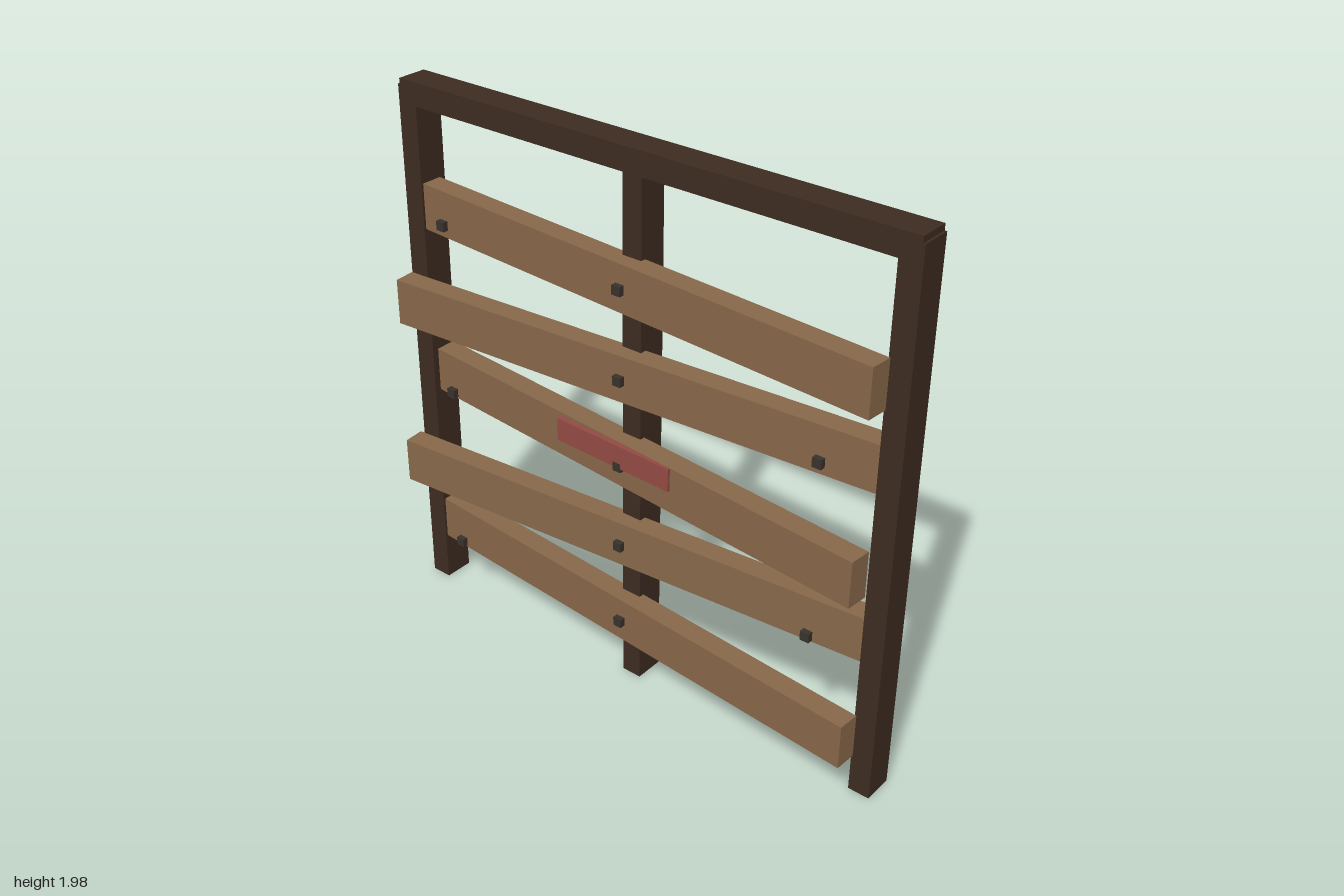
import * as THREE from 'three';

export function createModel() {
  const model = new THREE.Group();
  model.name = 'boardedFrame';

  const mat = (name, color) => {
    const m = new THREE.MeshStandardMaterial({ color });
    m.name = name;
    return m;
  };
  const darkWood = mat('dark wood', 0x3d2c20);
  const plankWood = mat('plank wood', 0x88684a);
  const iron = mat('dark iron', 0x39322c);
  const red = mat('faded red', 0x954a44);

  const box = (name, material, size, pos, yaw = 0) => {
    const mesh = new THREE.Mesh(new THREE.BoxGeometry(...size), material);
    mesh.name = name;
    mesh.position.set(...pos);
    mesh.rotation.y = yaw;
    model.add(mesh);
    return mesh;
  };
  const deg = THREE.MathUtils.degToRad;

  // Frame: two side posts, a middle post and a top beam
  const frameZ = -0.072, depth = 0.11;
  for (const side of [-1, 1]) {
    box(side > 0 ? 'leftPost' : 'rightPost', darkWood,
      [0.078, 1.958, depth], [side * 0.959, 0.979, frameZ]);
  }
  box('middlePost', darkWood, [0.075, 1.9, depth - 0.002], [0, 0.95, frameZ]);
  box('topBeam', darkWood, [1.98, 0.083, depth + 0.001], [0, 1.9375, frameZ]);

  // Planks skewed alternately, each with iron nails
  const planks = [
    { y: 0.27, yaw: -4 },
    { y: 0.588, yaw: 5 },
    { y: 0.905, yaw: -5 },
    { y: 1.223, yaw: 4 },
    { y: 1.541, yaw: -4 },
  ];
  planks.forEach(({ y, yaw }, i) => {
    box(`plank${i + 1}`, plankWood, [1.9, 0.166, 0.078], [0, y, 0], deg(yaw));
    for (const x of [-0.76, 0, 0.76]) {
      box(`nail${i + 1}`, iron, [0.033, 0.033, 0.02], [x, y, 0.051]);
    }
  });

  // Red strip across the middle plank
  box('redStrip', red, [0.484, 0.084, 0.02], [-0.022, 0.945, 0.049], deg(-2));

  return model;
}
